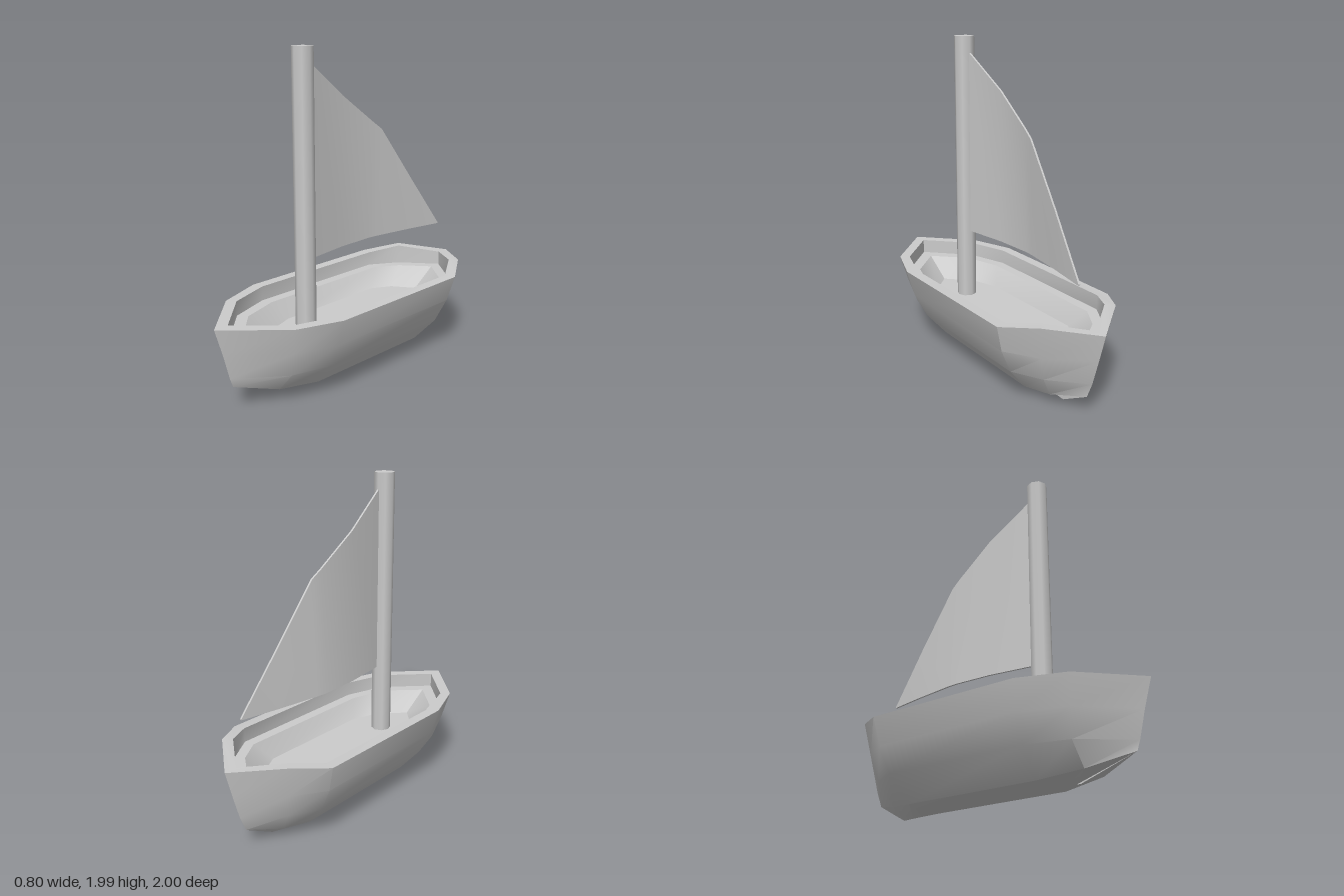
import * as THREE from 'three';
import { toCreasedNormals } from 'three/addons/utils/BufferGeometryUtils.js';

const grey = () => new THREE.MeshStandardMaterial({ color: 0xcccccc });

// Skins a list of closed rings (each an array of [x, y, z]) with quads
function loft(rings, crease) {
  const n = rings[0].length;
  const index = [];
  for (let i = 0; i < rings.length - 1; i++) {
    for (let j = 0; j < n; j++) {
      const k = (j + 1) % n;
      const a = i * n + j, b = i * n + k, c = b + n, d = a + n;
      index.push(a, b, c, a, c, d);
    }
  }
  const geo = new THREE.BufferGeometry();
  geo.setAttribute('position', new THREE.Float32BufferAttribute(rings.flat(2), 3));
  geo.setIndex(index);
  return toCreasedNormals(geo, crease);
}

// Completes a half outline (bow to stern along +x) by mirroring it
const mirrorRing = (half) => [
  ...half,
  ...half.slice(1, -1).reverse().map(([x, y, z]) => [-x, y, z]),
];

// Outline at one height: bow tip, bow corner, side front, side back, stern corner, stern tip
const outline = (y, bow, [cx, cz], [sx, sf, sb], [tx, tz], stern, lift = 0) => mirrorRing([
  [0, y, bow], [cx, y, cz], [sx, y, sf], [sx, y, sb], [tx, y + lift, tz], [0, y, stern],
]);

function createHull() {
  const floor = outline(0.32, 0.63, [0.15, 0.48], [0.21, 0.30, -0.45], [0.14, -0.58], -0.67);
  const rings = [
    // keel line
    mirrorRing([[0, 0.035, 0.56], [0, 0.034, 0.53], [0, 0.032, 0.45],
      [0, 0.006, -0.5], [0, 0.003, -0.6], [0, 0, -0.67]]),
    // bilge, rising towards both ends
    mirrorRing([[0, 0.15, 0.89], [0.1, 0.08, 0.64], [0.145, 0.05, 0.38],
      [0.145, 0.05, -0.5], [0.1, 0.065, -0.67], [0, 0.11, -0.87]]),
    // planked sides
    outline(0.205, 0.91, [0.21, 0.64], [0.28, 0.39, -0.54], [0.185, -0.72], -0.91),
    outline(0.36, 0.95, [0.26, 0.67], [0.355, 0.41, -0.56], [0.23, -0.755], -0.955),
    // rim
    outline(0.525, 1, [0.3, 0.7], [0.4, 0.42, -0.58], [0.265, -0.79], -1, 0.035),
    outline(0.525, 0.91, [0.25, 0.66], [0.335, 0.4, -0.56], [0.222, -0.745], -0.92, 0.035),
    // inner ledge
    outline(0.435, 0.91, [0.25, 0.66], [0.335, 0.4, -0.56], [0.222, -0.745], -0.92),
    outline(0.435, 0.81, [0.195, 0.62], [0.27, 0.38, -0.55], [0.178, -0.7], -0.84),
    // floor, closed along its centre line
    floor,
    floor.map(([, y, z]) => [0, y, z]),
  ];
  return new THREE.Mesh(loft(rings, 0.55), grey());
}

function createSail() {
  // columns from luff to clew: z, top y, foot x, top x
  const columns = [
    [0.285, 1.895, 0, 0],
    [0, 1.69, -0.04, -0.035],
    [-0.25, 1.51, -0.05, -0.022],
    [-0.32, 1.46, -0.043, -0.014],
    [-0.58, 1.11, -0.003, 0.012],
    [-0.83, 0.77, 0.045, 0.045],
  ];
  const t = 0.006, foot = 0.763;
  const sections = columns.map(([z, top, xf, xt]) => [
    [xf - t, foot, z], [xf + t, foot, z], [xt + t, top, z], [xt - t, top, z],
  ]);
  // close both ends by collapsing them to a line
  const close = (s) => [s[0], s[0], s[3], s[3]];
  const rings = [close(sections[0]), ...sections, close(sections.at(-1))];
  const mesh = new THREE.Mesh(loft(rings.reverse(), 0.6), grey());
  mesh.material.side = THREE.DoubleSide;
  return mesh;
}

export function createModel() {
  const boat = new THREE.Group();
  boat.name = 'sailboat';

  const hull = createHull();
  hull.name = 'hull';

  // mast stands on the floor, forward of the middle
  const mast = new THREE.Mesh(new THREE.CylinderGeometry(0.0625, 0.0625, 1.67, 8), grey());
  mast.position.set(0, 1.155, 0.34);
  mast.name = 'mast';

  const sail = createSail();
  sail.name = 'sail';

  boat.add(hull, mast, sail);
  return boat;
}
